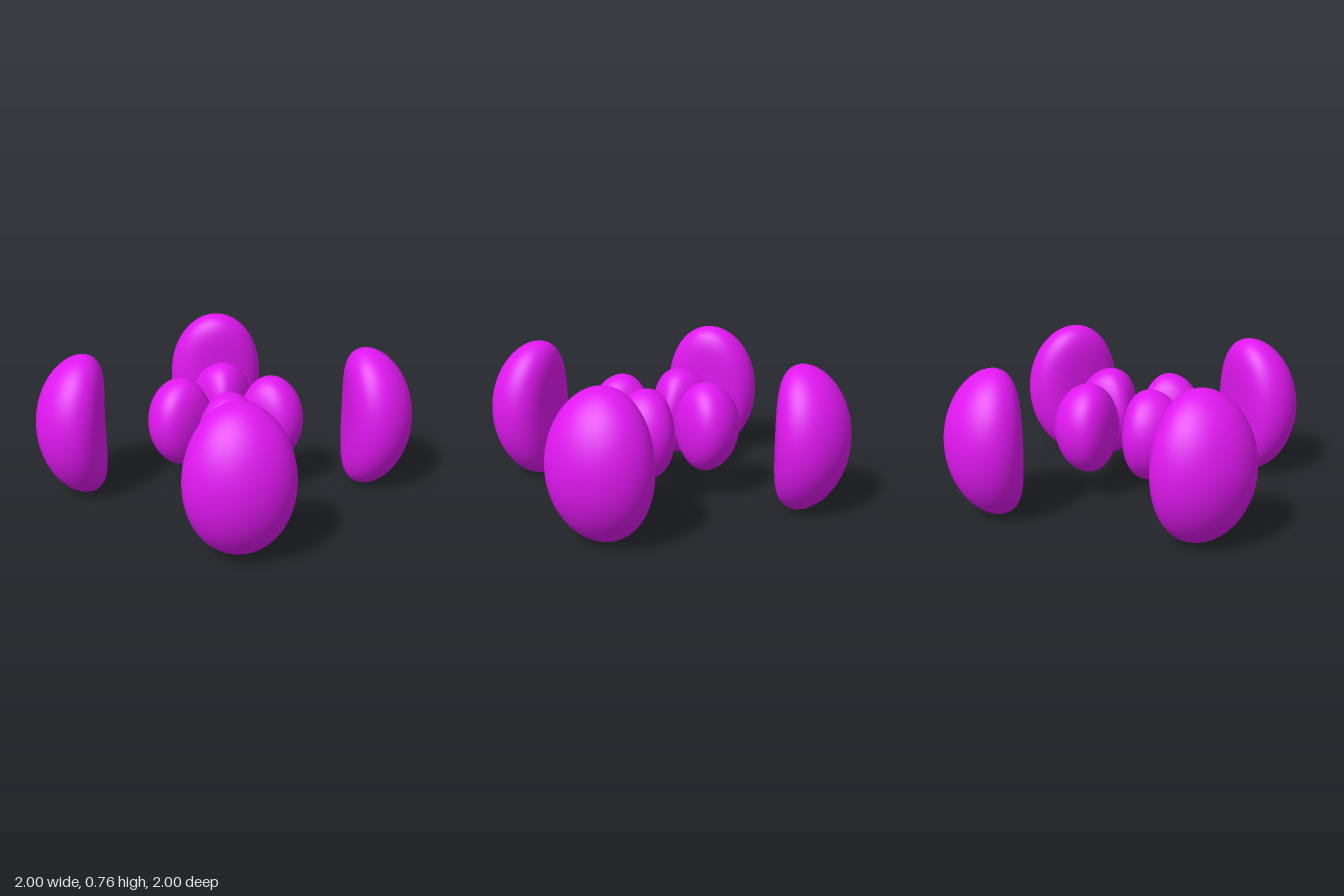
import * as THREE from 'three';
import { mergeVertices } from 'three/addons/utils/BufferGeometryUtils.js';

// Each lobe is a level surface of radial(r) * (x² - z²) / r², which changes sign at r = NODE
const NODE = 0.5, DECAY = 6, CENTRE_Y = 0.377;
const radial = (r) => r * r * Math.abs(NODE - r) * Math.exp(-DECAY * r);
const LEVEL = radial(1);

// Radius between lo and hi where the radial strength meets the level
function crossing(lo, hi) {
  const rising = radial(lo) < radial(hi);
  for (let i = 0; i < 50; i++) {
    const mid = (lo + hi) / 2;
    if ((radial(mid) < LEVEL) === rising) lo = mid; else hi = mid;
  }
  return (lo + hi) / 2;
}

// Lobe along +x: sphere latitude becomes radius, longitude the angle about x
function lobeGeometry(rMin, rMax) {
  const g = new THREE.SphereGeometry(1, 64, 48);
  const p = g.attributes.position;
  for (let i = 0; i < p.count; i++) {
    const along = p.getY(i);
    const around = Math.atan2(p.getX(i), p.getZ(i));
    const r = (rMin + rMax) / 2 + along * (rMax - rMin) / 2;
    const sin2 = Math.max(0, 1 - LEVEL / radial(r)) / (1 + Math.sin(around) ** 2);
    const s = r * Math.sqrt(sin2);
    p.setXYZ(i, r * Math.sqrt(1 - sin2), s * Math.cos(around), s * Math.sin(around));
  }
  g.deleteAttribute('uv');
  g.deleteAttribute('normal');
  const merged = mergeVertices(g, 1e-5);
  merged.computeVertexNormals();
  return merged;
}

export function createModel() {
  const group = new THREE.Group();
  const material = new THREE.MeshStandardMaterial({ color: 0xe018f0 });
  const lobes = {
    innerLobe: lobeGeometry(crossing(0.001, 0.21), crossing(0.21, 0.499)),
    outerLobe: lobeGeometry(crossing(0.501, 0.79), 1),
  };

  // Four inner and four outer lobes, a quarter turn apart
  const sides = ['Left', 'Back', 'Right', 'Front'];
  for (const [name, geometry] of Object.entries(lobes)) {
    sides.forEach((side, i) => {
      const lobe = new THREE.Mesh(geometry, material);
      lobe.name = name + side;
      lobe.rotation.y = i * Math.PI / 2;
      lobe.position.y = CENTRE_Y;
      group.add(lobe);
    });
  }
  return group;
}
